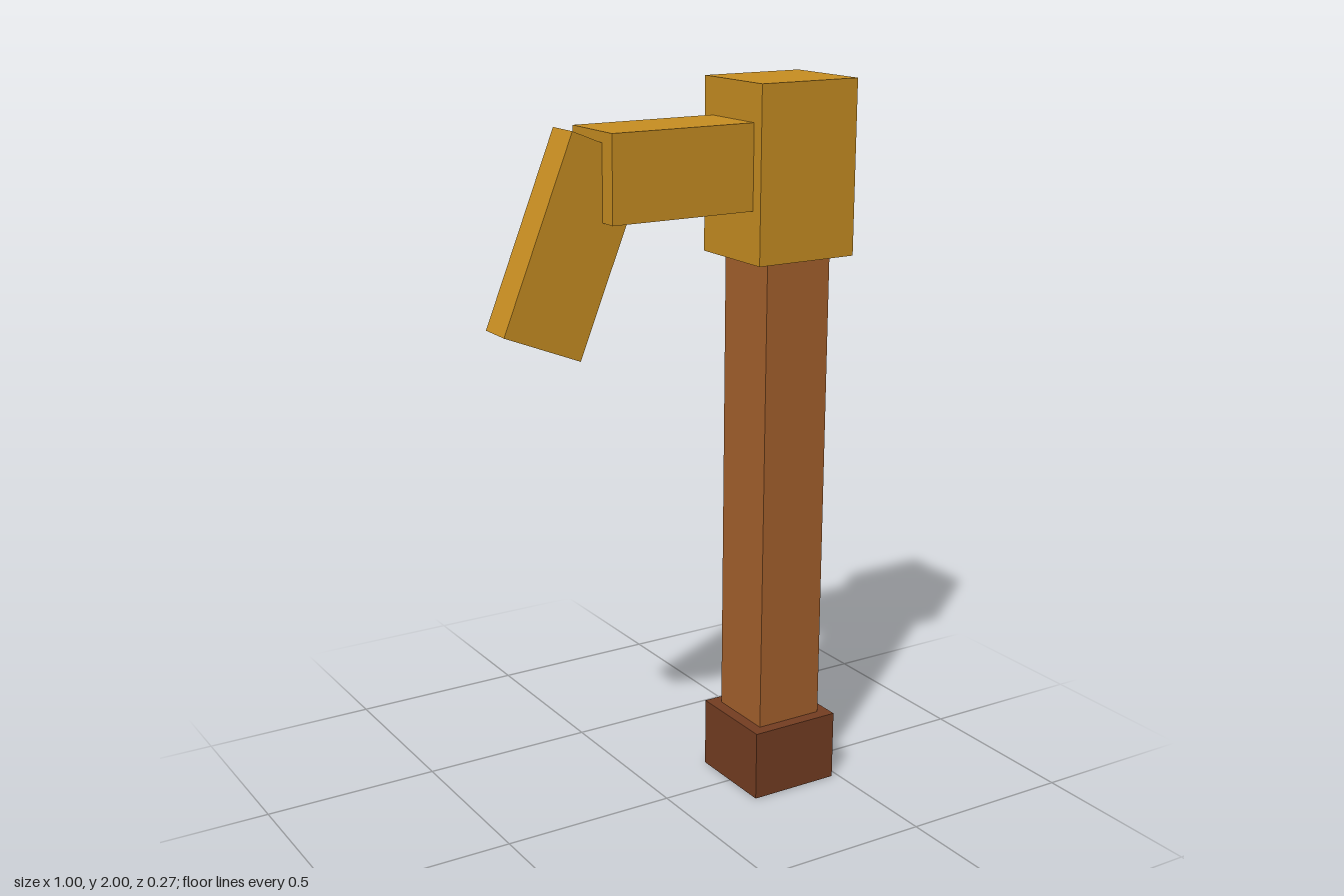
import * as THREE from 'three';

export function createModel() {
  const group = new THREE.Group();
  const material = (name, color) => {
    const m = new THREE.MeshStandardMaterial({ color });
    m.name = name;
    return m;
  };
  const brass = material('brass', 0xc98f22);
  const wood = material('wood', 0xa7622d);
  const darkWood = material('darkWood', 0x753e22);

  // Box given by its size and centre, optionally tilted about z
  const box = (name, mat, [w, h, d], [x, y], tilt = 0) => {
    const mesh = new THREE.Mesh(new THREE.BoxGeometry(w, h, d), mat);
    mesh.name = name;
    mesh.position.set(x, y, 0);
    mesh.rotation.z = tilt;
    group.add(mesh);
  };

  // Shaft with its end cap
  box('pommel', darkWood, [0.267, 0.2, 0.267], [0.348, 0.1]);
  box('handle', wood, [0.2, 1.333, 0.2], [0.348, 0.867]);

  // Head, neck and slanted blade
  box('head', brass, [0.3, 0.467, 0.267], [0.35, 1.767]);
  box('neck', brass, [0.417, 0.227, 0.2], [-0.009, 1.787]);
  box('blade', brass, [0.231, 0.531, 0.1], [-0.2925, 1.6165], -0.386);

  return group;
}
